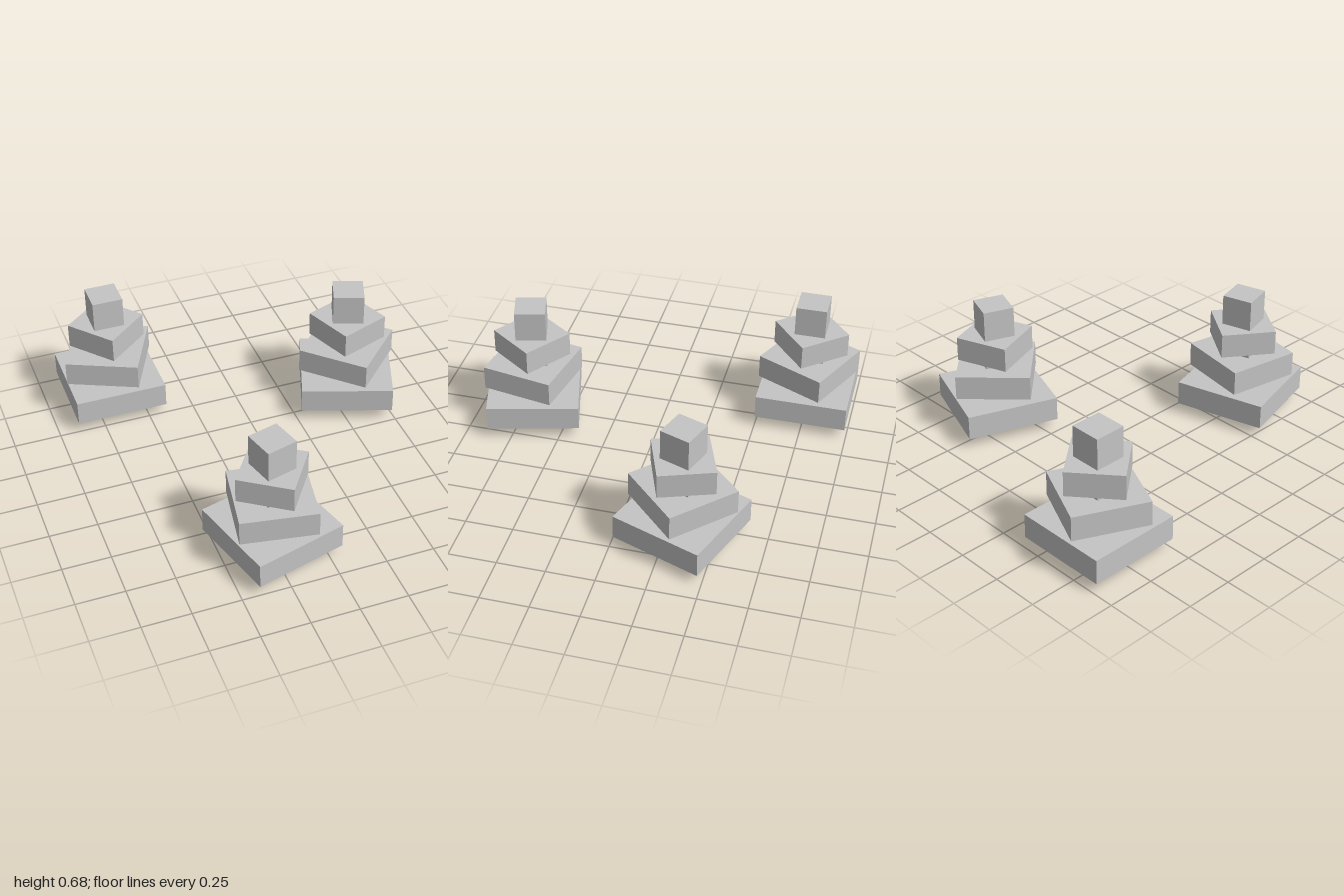
import * as THREE from 'three';

const stone = new THREE.MeshStandardMaterial({ color: 0xc4c4c4 });
stone.name = 'light grey';

// Square block standing on height y, turned by deg about the vertical
function block(name, side, height, y, deg) {
  const mesh = new THREE.Mesh(new THREE.BoxGeometry(side, height, side), stone);
  mesh.name = name;
  mesh.position.y = y + height / 2;
  mesh.rotation.y = THREE.MathUtils.degToRad(deg);
  return mesh;
}

// Square post carrying three shrinking slabs, each twisted 25 degrees further
function tower(name, x, z, deg) {
  const group = new THREE.Group();
  group.name = name;
  group.position.set(x, 0, z);
  group.rotation.y = THREE.MathUtils.degToRad(deg);
  group.add(block('post', 0.163, 0.68, 0, 0));
  ['lowerSlab', 'middleSlab', 'upperSlab'].forEach((slab, i) => {
    group.add(block(slab, 0.492 - i * 0.1025, 0.131, 0.054 + i * 0.165, -25 * i));
  });
  return group;
}

export function createModel() {
  const model = new THREE.Group();
  model.name = 'twistedTowers';
  model.add(
    tower('backTower', -0.648, -0.745, 0),
    tower('sideTower', 0.587, -0.331, -20),
    tower('frontTower', -0.235, 0.698, 15),
  );
  return model;
}
